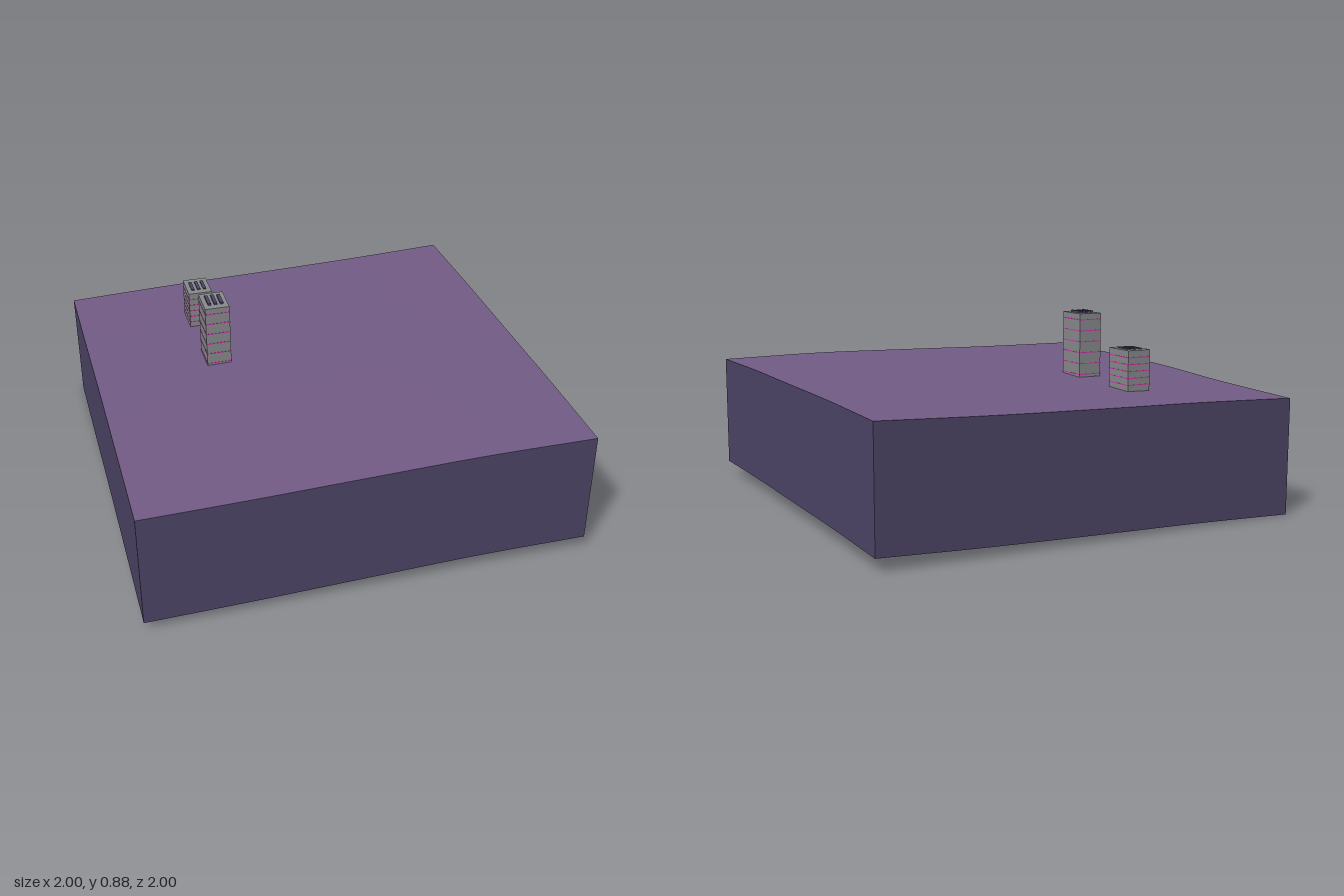
import * as THREE from 'three';

const DEPTH = 0.533; // thickness of the ground block

const mat = (name, color, side = THREE.FrontSide) => {
  const m = new THREE.MeshStandardMaterial({ color, side });
  m.name = name;
  return m;
};

// Smooth curve through heights at -1, -0.5, 0, 0.5, 1
function edgeCurve(values) {
  const curve = new THREE.CubicInterpolant([-1, -0.5, 0, 0.5, 1], values, 1);
  return (t) => curve.evaluate(THREE.MathUtils.clamp(t, -1, 1))[0];
}
const backEdge = edgeCurve([0.002, 0.019, 0.03, 0.043, 0.062]);
const frontEdge = edgeCurve([0.045, 0.051, 0.062, 0.071, 0.066]);
const leftEdge = edgeCurve([0.002, 0.014, 0.035, 0.042, 0.045]);
const rightEdge = edgeCurve([0.062, 0.07, 0.071, 0.072, 0.066]);

// Ground height blended from the four edge curves
function groundHeight(x, z) {
  const { lerp } = THREE.MathUtils;
  const u = (x + 1) / 2, v = (z + 1) / 2;
  const corners = lerp(lerp(0.002, 0.062, u), lerp(0.045, 0.066, u), v);
  return DEPTH + lerp(leftEdge(z), rightEdge(z), u) + lerp(backEdge(x), frontEdge(x), v) - corners;
}

function addMesh(parent, name, geometry, material, x = 0, y = 0, z = 0) {
  const mesh = new THREE.Mesh(geometry, material);
  mesh.name = name;
  mesh.position.set(x, y, z);
  parent.add(mesh);
  return mesh;
}

export function createModel() {
  const ground = mat('ground purple', 0x735c87, THREE.DoubleSide);
  const skirt = mat('dark indigo', 0x4d4567, THREE.DoubleSide);
  const concrete = mat('concrete grey', 0x888a8c);
  const neon = mat('neon magenta', 0xd82fb4);
  const model = new THREE.Group();
  model.name = 'cityTile';

  // Rolling ground surface
  const top = new THREE.PlaneGeometry(2, 2, 40, 40).rotateX(-Math.PI / 2);
  const p = top.attributes.position;
  for (let i = 0; i < p.count; i++) p.setY(i, groundHeight(p.getX(i), p.getZ(i)));
  top.computeVertexNormals();
  addMesh(model, 'groundSurface', top, ground);

  // Four side walls that follow the ground; the underside stays open
  ['front', 'left', 'back', 'right'].forEach((side, k) => {
    const wall = new THREE.PlaneGeometry(2, 1, 40, 1).translate(0, 0, 1).rotateY((k * Math.PI) / 2);
    const w = wall.attributes.position;
    for (let i = 0; i < w.count; i++) {
      const drop = w.getY(i) < 0 ? DEPTH : 0;
      w.setY(i, groundHeight(w.getX(i), w.getZ(i)) - drop);
    }
    addMesh(model, side + 'Wall', wall, skirt);
  });

  // Tower block with glowing floor bands and three roof vents
  function tower(name, z, bottom, roof, firstBand, bandStep, bandCount, ventHeight) {
    const g = new THREE.Group();
    g.name = name;
    g.position.set(-0.418, 0, z);
    const W = 0.115, D = 0.155;
    addMesh(g, 'towerBody', new THREE.BoxGeometry(W, roof - bottom, D), concrete, 0, (roof + bottom) / 2, 0);
    for (let i = 0; i < bandCount; i++) {
      addMesh(g, 'floorBand', new THREE.BoxGeometry(W + 0.002, 0.004, D + 0.002), neon, 0, firstBand + i * bandStep, 0);
    }
    for (const x of [-0.029, 0, 0.029]) {
      addMesh(g, 'roofVent', new THREE.BoxGeometry(0.015, ventHeight, 0.085), skirt, x, roof + ventHeight / 2, 0);
    }
    model.add(g);
  }
  tower('tallTower', -0.167, 0.574, 0.876, 0.587, 0.052, 6, 0.009);
  tower('shortTower', -0.582, 0.56, 0.746, 0.59, 0.031, 5, 0.005);

  return model;
}
